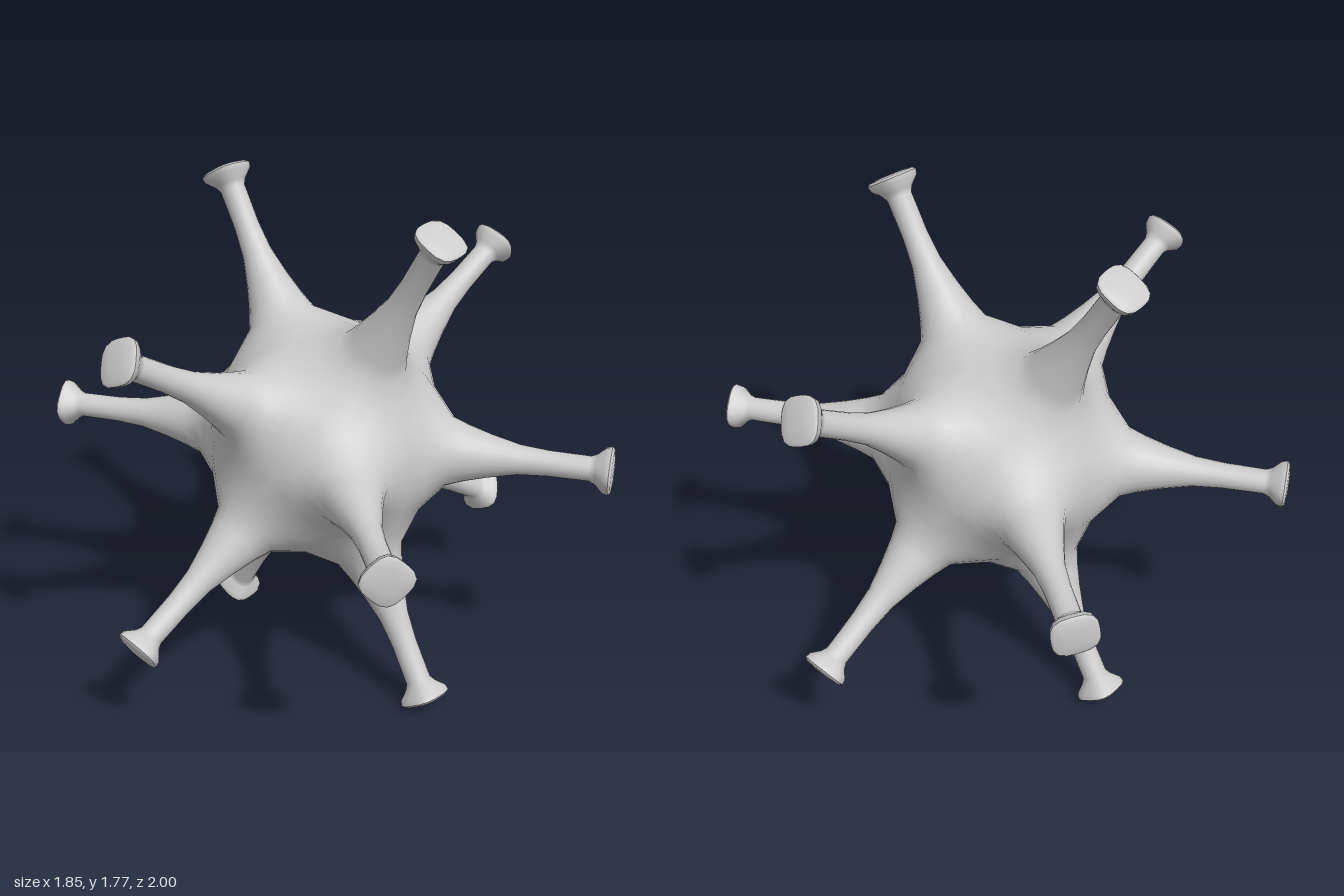
import * as THREE from 'three';
import { mergeGeometries, mergeVertices } from 'three/addons/utils/BufferGeometryUtils.js';

const SIDES = 20;            // four steps per side of each pentagonal cell
const CENTRE_Y = 0.9;
const BODY_R = 0.415;
const HALF_EDGE = Math.atan(2) / 2; // half the angle between neighbouring spikes

// Twelve evenly spread directions: two poles on z and two rings of five
function spikeAxes() {
  const axes = [new THREE.Vector3(0, 0, 1), new THREE.Vector3(0, 0, -1)];
  for (let k = 0; k < 10; k++) {
    const a = k * Math.PI / 5;
    const z = k % 2 ? -1 : 1;
    axes.push(new THREE.Vector3(2 * Math.cos(a), 2 * Math.sin(a), z).normalize());
  }
  return axes;
}

// Outer edge of a spike's cell on the round body: [height along axis, radius]
function cellEdge(phi) {
  const side = Math.PI * 2 / 5;
  const local = phi - Math.round(phi / side) * side;
  const theta = Math.atan(Math.tan(HALF_EDGE) / Math.cos(local));
  return [BODY_R * Math.cos(theta), BODY_R * Math.sin(theta)];
}

// Rounded square used for the flared spike ends
function squareness(phi) {
  const a = phi + Math.PI / 4, p = 3.2;
  return Math.pow(Math.abs(Math.cos(a)) ** p + Math.abs(Math.sin(a)) ** p, -1 / p);
}

// Rings as [height, radius, blend from cell edge, blend to square]
const FLARE = [
  [0.44, 0.12, 1, 0],
  [0.44, 0.12, 0.5, 0],
  [0.44, 0.12, 0, 0],
  [0.5, 0.098, 0, 0],
  [0.58, 0.075, 0, 0],
  [0.68, 0.052, 0, 0],
  [0.78, 0.044, 0, 0],
  [0.92, 0.042, 0, 0.3],
  [0.94, 0.05, 0, 0.7],
  [0.968, 0.073, 0, 1],
  [0.987, 0.077, 0, 1],
];
const TIP = [
  [0.987, 0.077, 0, 1],
  [0.995, 0.068, 0, 1],
  [0.999, 0.035, 0, 1],
  [1.0, 0, 0, 1],
];

// Skin of rings around one axis, oriented by a neighbouring axis
function spikeSkin(axis, neighbour, rings) {
  const u = neighbour.clone().addScaledVector(axis, -neighbour.dot(axis)).normalize();
  const v = axis.clone().cross(u);
  const pos = [], index = [];
  rings.forEach(([height, radius, edge, square], i) => {
    for (let j = 0; j < SIDES; j++) {
      const phi = j / SIDES * Math.PI * 2;
      const [eh, er] = cellEdge(phi);
      const r0 = radius * THREE.MathUtils.lerp(1, squareness(phi), square);
      const h = THREE.MathUtils.lerp(height, eh, edge);
      const r = THREE.MathUtils.lerp(r0, er, edge);
      const p = axis.clone().multiplyScalar(h)
        .addScaledVector(u, r * Math.cos(phi))
        .addScaledVector(v, r * Math.sin(phi));
      pos.push(p.x, p.y, p.z);
      if (i === rings.length - 1) continue;
      const a = i * SIDES + j, b = i * SIDES + (j + 1) % SIDES;
      index.push(a, b, b + SIDES);
      if (rings[i + 1][1] > 0) index.push(a, b + SIDES, a + SIDES);
    }
  });
  const g = new THREE.BufferGeometry();
  g.setAttribute('position', new THREE.Float32BufferAttribute(pos, 3));
  g.setIndex(index);
  return g;
}

export function createModel() {
  const group = new THREE.Group();
  group.name = 'spikedBall';
  const material = new THREE.MeshStandardMaterial({ color: 0xcccccc });
  const axes = spikeAxes();

  const addSkin = (name, rings) => {
    const parts = axes.map((axis) => {
      const neighbour = axes.find((n) => n !== axis && n.dot(axis) > 0.4);
      return spikeSkin(axis, neighbour, rings);
    });
    // Welding joins the cells so shading runs smoothly from spike to spike
    const geometry = mergeVertices(mergeGeometries(parts), 1e-4);
    geometry.computeVertexNormals();
    const mesh = new THREE.Mesh(geometry, material);
    mesh.name = name;
    mesh.position.y = CENTRE_Y;
    group.add(mesh);
  };

  // Body with its flared spikes, then the flat ends
  addSkin('bodyAndSpikes', FLARE);
  addSkin('spikeTips', TIP);
  return group;
}
